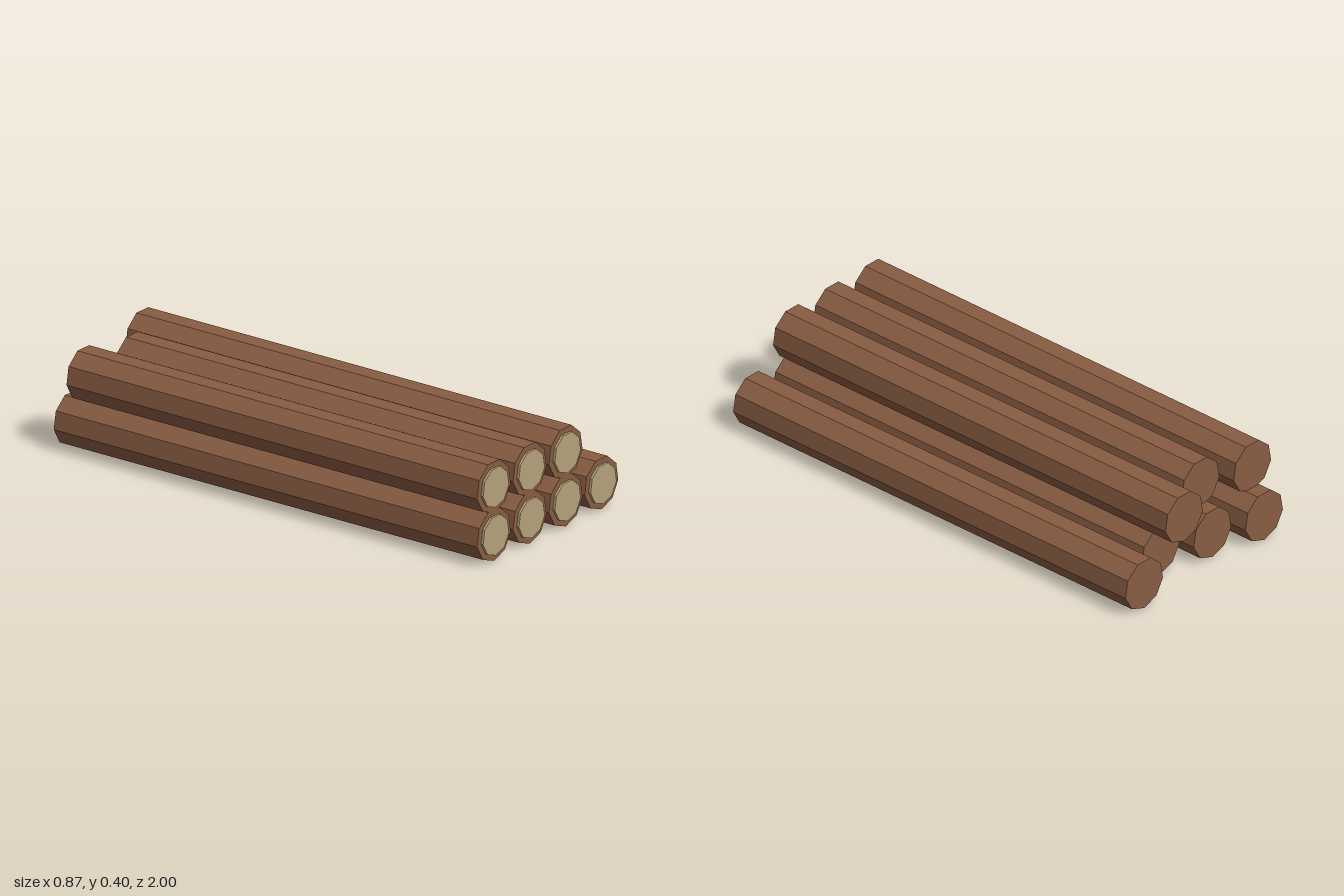
import * as THREE from 'three';

const R = 0.105, CUT_R = 0.081, SIDES = 9;
const FRONT = 0.99, TIP = 1.0;

// Nine-sided prism along z with one corner pointing down
function prism(radius, zBack, zFront) {
  const g = new THREE.CylinderGeometry(radius, radius, zFront - zBack, SIDES);
  g.rotateX(Math.PI / 2);
  g.translate(0, 0, (zFront + zBack) / 2);
  return g;
}

export function createModel() {
  const bark = new THREE.MeshStandardMaterial({ color: 0x885c42, flatShading: true });
  bark.name = 'bark brown';
  const wood = new THREE.MeshStandardMaterial({ color: 0xb6a27a, flatShading: true });
  wood.name = 'cut wood tan';

  // Each row lists [x, z of the back end]; the fronts are flush
  const rows = [
    { name: 'lowerLog', y: 0.105, logs: [[-0.332, -1], [-0.111, -0.94], [0.111, -0.88], [0.332, -1]] },
    { name: 'upperLog', y: 0.298, logs: [[-0.332, -0.94], [-0.111, -0.88], [0.111, -1]] },
  ];

  const model = new THREE.Group();
  model.name = 'logPile';
  for (const row of rows) {
    row.logs.forEach(([x, back], i) => {
      const log = new THREE.Group();
      log.name = `${row.name}${i + 1}`;
      log.position.set(x, row.y, 0);

      const trunk = new THREE.Mesh(prism(R, back, FRONT), bark);
      trunk.name = 'trunk';
      // Pale sawn face standing slightly proud of the front end
      const cut = new THREE.Mesh(prism(CUT_R, FRONT, TIP), wood);
      cut.name = 'cutFace';

      log.add(trunk, cut);
      model.add(log);
    });
  }
  return model;
}
